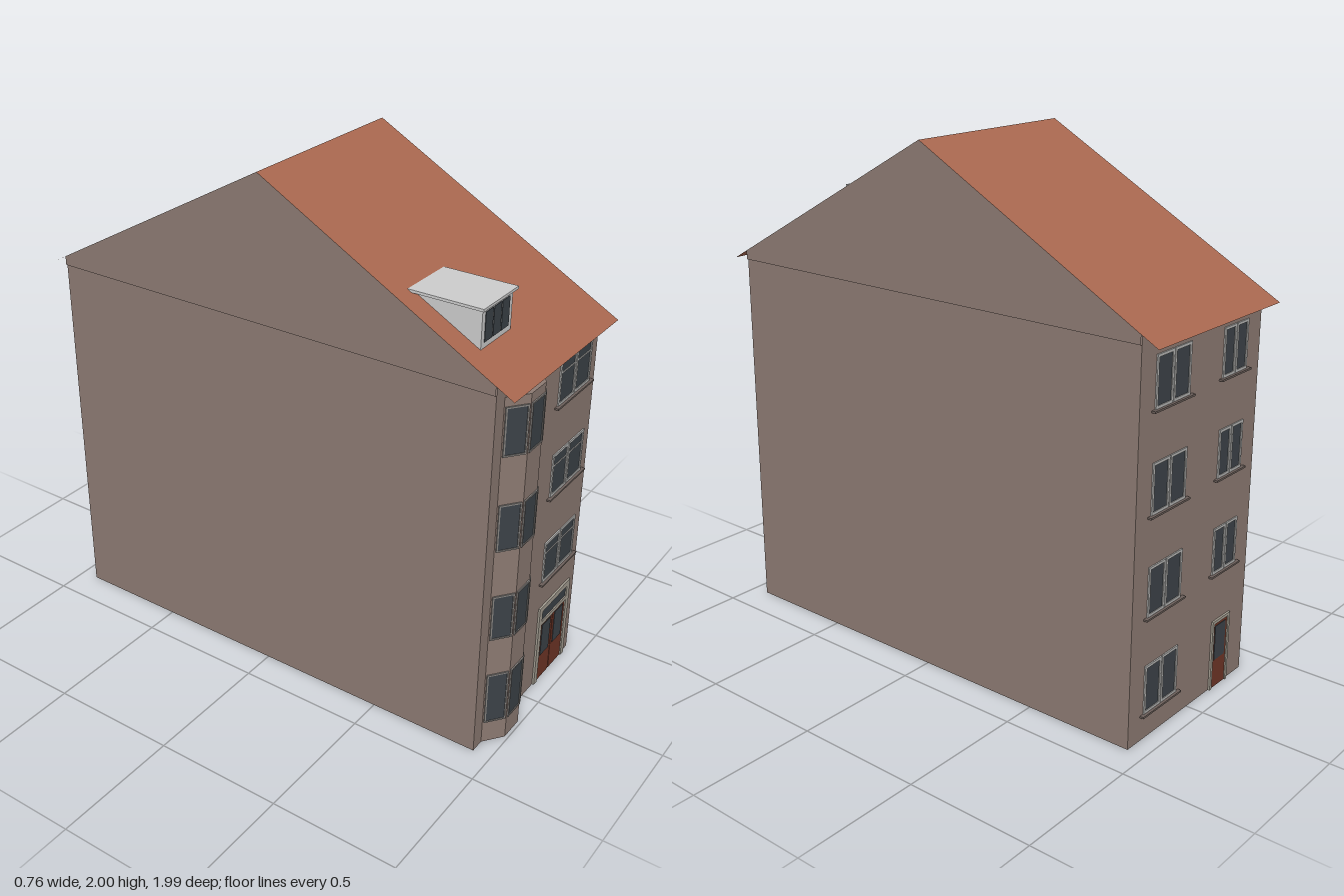
import * as THREE from 'three';

const mat = (color) => new THREE.MeshStandardMaterial({ color, side: THREE.DoubleSide, flatShading: true });

export function createModel() {
  const house = new THREE.Group();
  house.name = 'townHouse';
  const brick = mat(0x8c7a72), tile = mat(0xa8674f), frameMat = mat(0xb4b4b2), bayFrame = mat(0x85827f);
  const glass = mat(0x3c4248), wood = mat(0x6e3526), stone = mat(0xa29c90), sillMat = mat(0x6b5f5a), white = mat(0xcccccc);

  // Flat convex polygon from its corners, anticlockwise seen from outside
  function sheet(name, parent, material, corners) {
    const p = [];
    for (let i = 1; i < corners.length - 1; i++) p.push(...corners[0], ...corners[i], ...corners[i + 1]);
    const g = new THREE.BufferGeometry();
    g.setAttribute('position', new THREE.Float32BufferAttribute(p, 3));
    g.computeVertexNormals();
    const m = new THREE.Mesh(g, material);
    m.name = name;
    parent.add(m);
  }

  // Box given by its extents
  function box(name, parent, material, x0, x1, y0, y1, z0, z1) {
    const m = new THREE.Mesh(new THREE.BoxGeometry(x1 - x0, y1 - y0, z1 - z0), material);
    m.position.set((x0 + x1) / 2, (y0 + y1) / 2, (z0 + z1) / 2);
    m.name = name;
    parent.add(m);
  }

  // Rectangular frame around a pane, lying on the local plane z = 0
  function casement(name, parent, x0, x1, y0, y1, t, material, transom = 0) {
    const g = new THREE.Group();
    g.name = name;
    parent.add(g);
    box('pane', g, glass, x0 + t, x1 - t, y0 + t, y1 - t, -0.002, 0.002);
    for (const [a, b] of [[x0, x0 + t], [x1 - t, x1]]) box('stile', g, material, a, b, y0, y1, -0.002, 0.005);
    for (const [a, b] of [[y0, y0 + t], [y1 - t, y1]]) box('rail', g, material, x0 + t, x1 - t, a, b, -0.002, 0.005);
    if (transom) box('transom', g, material, x0 + t, x1 - t, y1 - transom - 0.006, y1 - transom, -0.002, 0.004);
  }

  // Pair of casements over a sill
  function pairWindow(name, parent, x0, x1, y0, y1, transom) {
    const g = new THREE.Group();
    g.name = name;
    parent.add(g);
    const mid = (x0 + x1) / 2;
    casement('leftCasement', g, x0, mid - 0.002, y0, y1, 0.01, frameMat, transom);
    casement('rightCasement', g, mid + 0.002, x1, y0, y1, 0.01, frameMat, transom);
    box('sill', g, sillMat, x0 - 0.018, x1 + 0.018, y0 - 0.007, y0, 0, 0.015);
  }

  // Walls, open underneath
  const W = 0.372, D = 0.93, E = 1.45, R = 0.378, slope = 0.554;
  const roofY = (z) => 2 - slope * Math.abs(z);
  for (const s of [1, -1]) {
    sheet(s > 0 ? 'frontWall' : 'backWall', house, brick,
      [[-s * W, 0, s * D], [s * W, 0, s * D], [s * W, roofY(D), s * D], [-s * W, roofY(D), s * D]]);
    sheet('sideWall', house, brick, [[s * W, 0, s * D], [s * W, 0, -s * D], [s * W, E, -s * D], [s * W, E, s * D]]);
    // Gable standing slightly proud of the wall
    sheet('gable', house, brick, [[s * R, E, s * D], [s * R, E, -s * D], [s * R, roofY(D), -s * D],
      [s * R, 2, 0], [s * R, roofY(D), s * D]]);
    sheet('gableSoffit', house, tile, [[s * W, E, s * D], [s * W, E, -s * D], [s * R, E, -s * D], [s * R, E, s * D]]);
    // Roof slope running past the wall as eaves
    const z = s * 0.997;
    sheet('roofSlope', house, tile, [[-s * R, roofY(z), z], [s * R, roofY(z), z], [s * R, 2, 0], [-s * R, 2, 0]]);
  }

  // Three-sided bay
  const bay = new THREE.Group();
  bay.name = 'bay';
  house.add(bay);
  const plan = [[-0.315, D], [-0.24, 0.987], [-0.14, 0.987], [-0.062, D]];
  const bayRows = [[0.09, 0.305], [0.46, 0.645], [0.83, 1.015], [1.2, 1.385]];
  for (let i = 0; i < 3; i++) {
    const [ax, az] = plan[i], [bx, bz] = plan[i + 1];
    sheet('bayWall', bay, brick, [[ax, 0, az], [bx, 0, bz], [bx, 1.42, bz], [ax, 1.42, az]]);
    const facet = new THREE.Group();
    facet.name = 'bayWindows';
    facet.position.set(ax, 0, az);
    facet.rotation.y = -Math.atan2(bz - az, bx - ax);
    bay.add(facet);
    const len = Math.hypot(bx - ax, bz - az);
    for (const [y0, y1] of bayRows) casement('bayWindow', facet, 0.005, len - 0.005, y0, y1, 0.006, bayFrame);
  }
  sheet('bayTop', bay, brick, plan.map(([x, z]) => [x, 1.42, z]));

  // Front windows and double door
  const front = new THREE.Group();
  front.name = 'frontOpenings';
  front.position.z = D;
  house.add(front);
  for (const y of [0.475, 0.845, 1.215]) pairWindow('frontWindow', front, 0.083, 0.325, y, y + 0.172, 0.045);

  const door = new THREE.Group();
  door.name = 'frontDoor';
  front.add(door);
  box('doorPost', door, stone, 0.08, 0.104, 0, 0.355, 0, 0.008);
  box('doorPost', door, stone, 0.304, 0.328, 0, 0.355, 0, 0.008);
  box('doorHead', door, stone, 0.104, 0.304, 0.333, 0.355, 0, 0.008);
  box('doorTransom', door, stone, 0.104, 0.304, 0.27, 0.287, 0, 0.008);
  box('fanlight', door, glass, 0.104, 0.304, 0.287, 0.333, 0, 0.003);
  for (const x of [0.104, 0.206]) {
    box('doorLeaf', door, wood, x, x + 0.098, 0, 0.27, 0, 0.003);
    box('doorPane', door, glass, x + 0.015, x + 0.083, 0.115, 0.258, 0, 0.005);
  }

  // Back windows and door, in a group turned to face the rear
  const back = new THREE.Group();
  back.name = 'backOpenings';
  back.position.z = -D;
  back.rotation.y = Math.PI;
  house.add(back);
  [0.1, 0.472, 0.845, 1.215].forEach((y, i) => {
    pairWindow('backWideWindow', back, -0.285, -0.082, y, y + 0.185, 0);
    if (i) pairWindow('backNarrowWindow', back, 0.127, 0.283, y + 0.005, y + 0.185, 0);
  });
  const backDoor = new THREE.Group();
  backDoor.name = 'backDoor';
  back.add(backDoor);
  box('doorPost', backDoor, stone, 0.148, 0.16, 0, 0.28, 0, 0.008);
  box('doorPost', backDoor, stone, 0.254, 0.266, 0, 0.28, 0, 0.008);
  box('doorHead', backDoor, stone, 0.16, 0.254, 0.268, 0.28, 0, 0.008);
  box('doorLeaf', backDoor, wood, 0.16, 0.254, 0, 0.268, 0, 0.003);
  box('doorPane', backDoor, glass, 0.172, 0.242, 0.115, 0.255, 0, 0.005);

  // Dormer: wedge cheeks, front with three panes, flat cap
  const dormer = new THREE.Group();
  dormer.name = 'dormer';
  house.add(dormer);
  const zf = 0.82, yb = roofY(zf), top = 1.686, zb = (2 - top) / slope, xl = -0.29, xr = -0.092;
  sheet('dormerCheek', dormer, white, [[xr, yb, zf], [xr, top, zb], [xr, top, zf]]);
  sheet('dormerCheek', dormer, white, [[xl, yb, zf], [xl, top, zf], [xl, top, zb]]);
  sheet('dormerFront', dormer, white, [[xl, yb, zf], [xr, yb, zf], [xr, top, zf], [xl, top, zf]]);
  for (let i = 0; i < 3; i++) {
    const x = -0.27 + i * 0.0545;
    box('dormerPane', dormer, glass, x, x + 0.049, 1.566, 1.672, zf - 0.002, zf + 0.002);
  }
  box('dormerCap', dormer, white, -0.305, -0.077, top, top + 0.01, 0.55, 0.832);

  return house;
}
